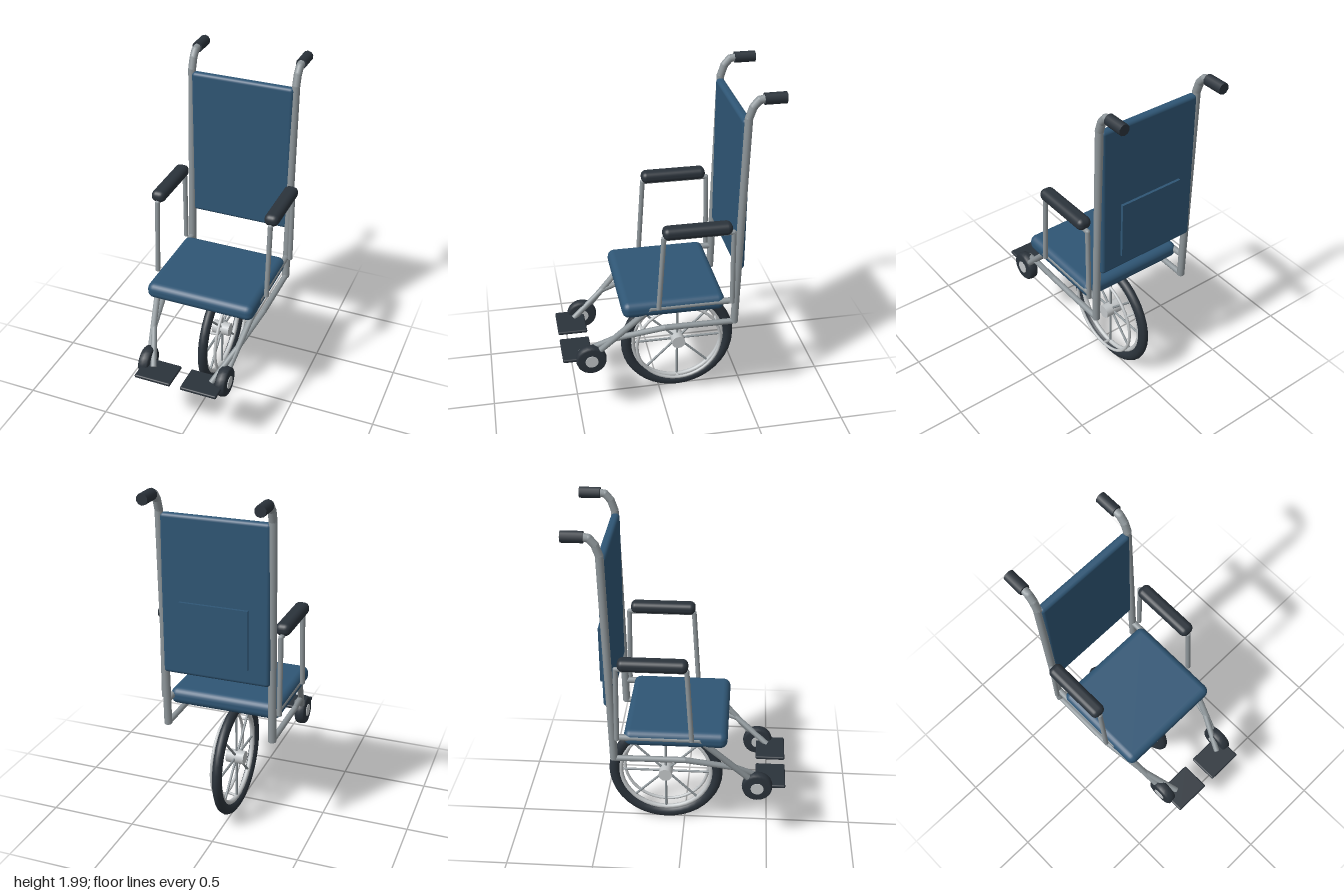
import * as THREE from 'three';
import { RoundedBoxGeometry } from 'three/addons/geometries/RoundedBoxGeometry.js';

const material = (name, color) => {
  const m = new THREE.MeshStandardMaterial({ color });
  m.name = name;
  return m;
};

export function createModel() {
  const root = new THREE.Group();
  root.name = 'wheelchair';
  const blue = material('blue upholstery', 0x2f5675);
  const dark = material('dark rubber', 0x2b333b);
  const frame = material('grey frame metal', 0x8f979b);
  const bright = material('bright metal', 0xc2c6c8);

  const add = (name, geo, mat, x = 0, y = 0, z = 0, parent = root) => {
    const mesh = new THREE.Mesh(geo, mat);
    mesh.name = name;
    mesh.position.set(x, y, z);
    parent.add(mesh);
    return mesh;
  };
  const pad = (name, w, h, d, r, mat, x, y, z) =>
    add(name, new RoundedBoxGeometry(w, h, d, 3, r), mat, x, y, z);

  // Straight rod between two points
  const rod = (name, a, b, r, mat, parent) => {
    const p = new THREE.Vector3(...a), q = new THREE.Vector3(...b);
    const mesh = add(name, new THREE.CylinderGeometry(r, r, p.distanceTo(q), 10), mat, 0, 0, 0, parent);
    mesh.position.copy(p).lerp(q, 0.5);
    mesh.quaternion.setFromUnitVectors(new THREE.Vector3(0, 1, 0), q.sub(p).normalize());
  };
  // Bent pipe: rods with ball joints at the inner bends
  const pipe = (name, points, r) => {
    const group = new THREE.Group();
    group.name = name;
    root.add(group);
    points.forEach((p, i) => {
      if (i === 0) return;
      rod(name + 'Section', points[i - 1], p, r, frame, group);
      if (i < points.length - 1) add(name + 'Bend', new THREE.SphereGeometry(r, 10, 8), frame, ...p, group);
    });
  };

  // Upholstery
  pad('seat', 0.64, 0.095, 0.575, 0.04, blue, 0, 0.778, -0.032);
  pad('backrest', 0.6, 0.885, 0.048, 0.02, blue, 0, 1.418, -0.4);
  add('backPocket', new THREE.BoxGeometry(0.38, 0.33, 0.015), blue, 0, 1.235, -0.443);

  for (const s of [1, -1]) {
    const side = s > 0 ? 'left' : 'right';
    const X = 0.305 * s, A = 0.335 * s;

    // Back tube bending into the push handle
    pipe(side + 'BackTube', [[X, 0.64, -0.376], [X, 1.87, -0.405], [X, 1.93, -0.425],
      [X, 1.965, -0.455], [X, 1.972, -0.5]], 0.022);
    add(side + 'Grip', new THREE.CylinderGeometry(0.031, 0.031, 0.115, 10), dark, X, 1.97, -0.5375)
      .rotation.x = Math.PI / 2;

    // Seat rail running down to the caster, lower rail running to the footplate
    pipe(side + 'SeatRail', [[X, 0.785, -0.375], [X, 0.785, 0.1], [0.228 * s, 0.44, 0.43]], 0.018);
    pipe(side + 'LowerRail', [[X, 0.645, -0.376], [X, 0.648, 0.02], [0.255 * s, 0.575, 0.3],
      [0.175 * s, 0.445, 0.485]], 0.017);

    // Armrest
    pipe(side + 'ArmFrame', [[A, 0.795, 0.06], [A, 1.238, 0.033], [A, 1.238, -0.345],
      [A, 0.79, -0.352]], 0.014);
    pad(side + 'ArmPad', 0.082, 0.068, 0.375, 0.03, dark, A, 1.27, -0.147);

    // Caster wheel with rounded shoulders
    const profile = [[0, -0.03], [0.075, -0.03], [0.084, -0.022], [0.088, 0],
      [0.084, 0.022], [0.075, 0.03], [0, 0.03]].map(p => new THREE.Vector2(...p));
    add(side + 'Caster', new THREE.LatheGeometry(profile, 24), dark, 0.233 * s, 0.435, 0.43)
      .rotation.z = Math.PI / 2;
    add(side + 'CasterHub', new THREE.CylinderGeometry(0.037, 0.037, 0.068, 16), bright, 0.233 * s, 0.435, 0.43)
      .rotation.z = Math.PI / 2;

    // Footplate
    pad(side + 'Footplate', 0.215, 0.02, 0.17, 0.008, dark, 0.1375 * s, 0.44, 0.505);
  }

  // Large central wheel
  const wheel = new THREE.Group();
  wheel.name = 'mainWheel';
  wheel.position.set(0, 0.347, -0.113);
  root.add(wheel);
  const ring = (name, R, r, mat, x) => {
    const mesh = add(name, new THREE.TorusGeometry(R, r, 10, 40), mat, x, 0, 0, wheel);
    mesh.rotation.y = Math.PI / 2;
    return mesh;
  };
  ring('tire', 0.308, 0.032, dark, 0).scale.z = 0.85;
  ring('rim', 0.271, 0.014, bright, 0);
  ring('handRim', 0.252, 0.009, bright, 0.056);
  add('hub', new THREE.CylinderGeometry(0.04, 0.04, 0.106, 16), bright, 0, 0, 0, wheel)
    .rotation.z = Math.PI / 2;
  for (let i = 0; i < 8; i++) {
    const a = i * Math.PI / 4;
    rod('spoke', [0, 0, 0], [0, 0.27 * Math.sin(a), 0.27 * Math.cos(a)], 0.007, frame, wheel);
  }
  // Posts holding the hand rim
  for (let i = 0; i < 3; i++) {
    const a = Math.PI / 6 + i * Math.PI * 2 / 3, c = Math.cos(a), n = Math.sin(a);
    rod('handRimPost', [0, 0.266 * n, 0.266 * c], [0.056, 0.254 * n, 0.254 * c], 0.008, bright, wheel);
  }
  return root;
}
